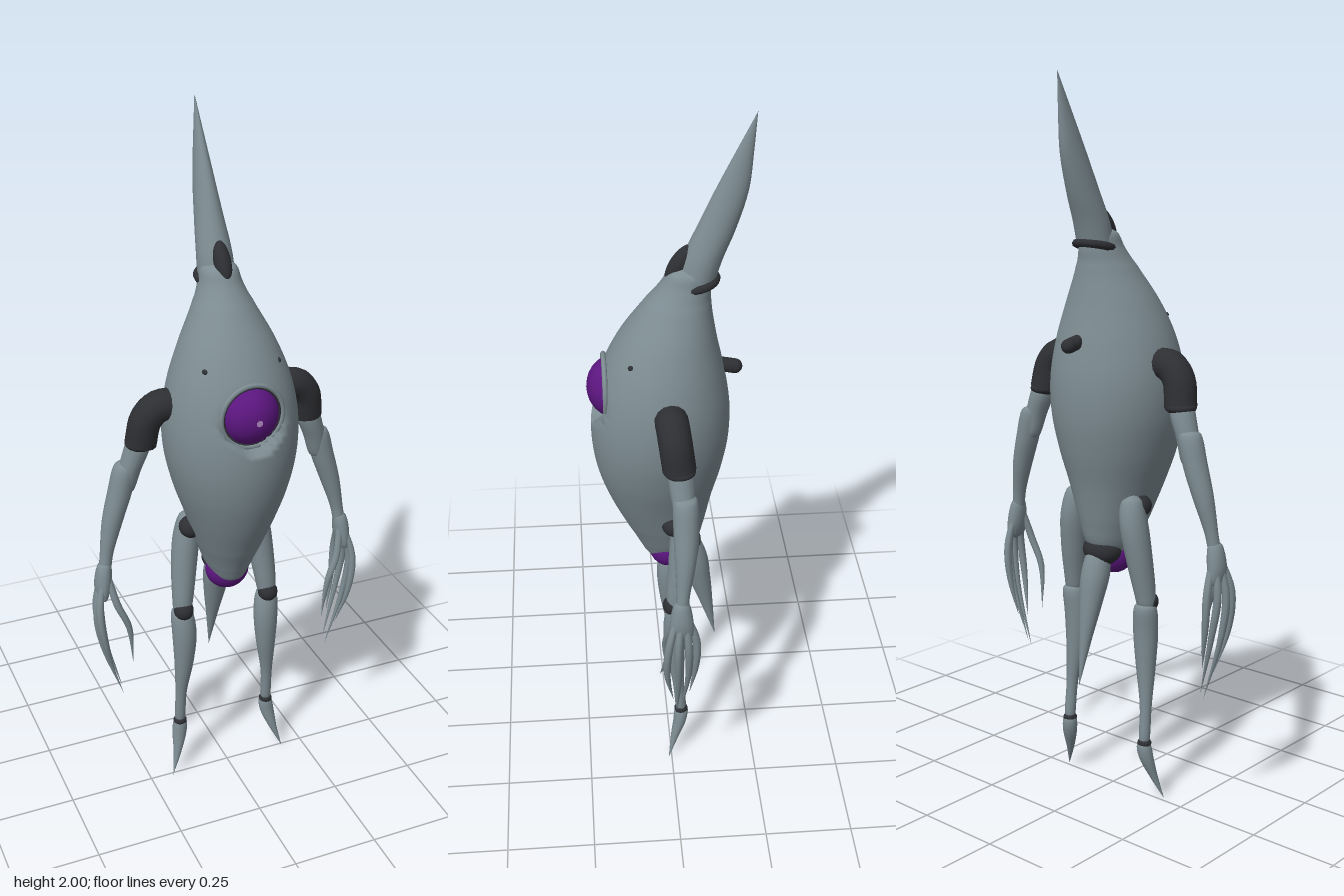
import * as THREE from 'three';

const material = (name, color, double) => {
  const m = new THREE.MeshStandardMaterial({ color });
  m.name = name;
  if (double) m.side = THREE.DoubleSide;
  return m;
};

export function createModel() {
  const root = new THREE.Group();
  root.name = 'creature';
  const shell = material('greyShell', 0x7d8c92);
  const joint = material('darkJoint', 0x2e2f33);
  const violet = material('violetEye', 0x5c1680);
  const pale = material('paleGlint', 0xb48cc4);

  const add = (name, geometry, mat, parent = root) => {
    const mesh = new THREE.Mesh(geometry, mat);
    mesh.name = name;
    parent.add(mesh);
    return mesh;
  };

  // Smooth loft through level rings, top to bottom: [x, y, z, rx, rz]
  function loft(rings, sides = 14, steps = 5, s = 1) {
    const path = new THREE.CatmullRomCurve3(rings.map(r => new THREE.Vector3(s * r[0], r[1], r[2])));
    const size = new THREE.CatmullRomCurve3(
      rings.map(r => new THREE.Vector3(r[3], r[4] ?? r[3], 0)), false, 'catmullrom', 0.5);
    const n = (rings.length - 1) * steps, pos = [], index = [];
    for (let j = 0; j <= n; j++) {
      const p = path.getPoint(j / n), q = size.getPoint(j / n);
      for (let i = 0; i < sides; i++) {
        const a = (i / sides) * Math.PI * 2;
        pos.push(p.x + Math.max(q.x, 0) * Math.cos(a), p.y, p.z + Math.max(q.y, 0) * Math.sin(a));
        if (j < n) {
          const k = j * sides + i, l = j * sides + (i + 1) % sides;
          index.push(k, l, k + sides, l, l + sides, k + sides);
        }
      }
    }
    const g = new THREE.BufferGeometry();
    g.setAttribute('position', new THREE.Float32BufferAttribute(pos, 3));
    g.setIndex(index);
    g.computeVertexNormals();
    return g;
  }

  function ball(name, mat, [x, y, z], [rx, ry, rz], parent = root) {
    const m = add(name, new THREE.SphereGeometry(1, 24, 16), mat, parent);
    m.position.set(x, y, z);
    m.scale.set(rx, ry, rz);
    return m;
  }

  // Body, from front and back edges: [y, half width, front z, back z]
  const bodyRings = [
    [1.61, 0, -0.05, -0.06], [1.59, 0.045, -0.005, -0.105], [1.55, 0.058, 0.02, -0.112], [1.5, 0.08, 0.06, -0.113],
    [1.4, 0.13, 0.13, -0.128], [1.3, 0.167, 0.178, -0.15], [1.2, 0.185, 0.202, -0.166],
    [1.1, 0.182, 0.208, -0.166], [1.0, 0.16, 0.195, -0.15], [0.9, 0.126, 0.163, -0.125],
    [0.8, 0.092, 0.118, -0.105], [0.73, 0.066, 0.083, -0.085], [0.69, 0.042, 0.062, -0.04],
    [0.675, 0, 0.03, 0.03],
  ].map(([y, w, f, b]) => [0, y, (f + b) / 2, w, (f - b) / 2]);
  const body = loft(bodyRings, 64, 8);
  // Flat socket for the eye
  const p = body.attributes.position;
  for (let i = 0; i < p.count; i++) {
    if (Math.hypot(p.getX(i), p.getY(i) - 1.25) < 0.09) p.setZ(i, Math.min(p.getZ(i), 0.166));
  }
  body.computeVertexNormals();
  add('body', body, shell);

  // Eye with its rims
  ball('eye', violet, [0, 1.25, 0.145], [0.081, 0.083, 0.072]);
  add('eyeRim', new THREE.TorusGeometry(0.087, 0.007, 8, 40), shell).position.set(0, 1.25, 0.169);
  add('eyeSeam', new THREE.TorusGeometry(0.08, 0.004, 6, 40), joint).position.set(0, 1.25, 0.168);
  add('eyeGlint', new THREE.CircleGeometry(0.009, 12), pale).position.set(0, 1.25, 0.218);

  // Horn swept up and back, with dark seams at its base
  add('horn', loft([
    [0, 2.0, -0.215, 0], [0, 1.9, -0.187, 0.013, 0.022], [0, 1.8, -0.158, 0.026, 0.042],
    [0, 1.7, -0.121, 0.038, 0.05], [0, 1.62, -0.088, 0.047, 0.052], [0, 1.56, -0.072, 0.05, 0.05],
  ], 20, 6), shell);
  const collar = add('hornCollar', new THREE.TorusGeometry(0.05, 0.011, 8, 28), joint);
  collar.rotation.x = Math.PI / 2 + 0.2;
  collar.position.set(0, 1.555, -0.075);
  const notch = ball('hornNotch', joint, [0, 1.605, -0.03], [0.023, 0.06, 0.025]);
  notch.rotation.x = -0.55;

  // Back vent
  const vent = add('backVent', new THREE.CapsuleGeometry(0.02, 0.05, 6, 14), joint);
  vent.rotation.x = Math.PI / 2 - 0.2;
  vent.position.set(0, 1.302, -0.155);

  // Belly orb and tail
  ball('bellyOrb', violet, [0, 0.7, 0.0], [0.064, 0.062, 0.055]);
  ball('tailSocket', joint, [0, 0.715, -0.045], [0.058, 0.045, 0.052]);
  add('tail', loft([
    [0, 0.73, -0.06, 0], [0, 0.71, -0.063, 0.03, 0.032], [0, 0.65, -0.075, 0.04, 0.042],
    [0, 0.58, -0.092, 0.034, 0.034], [0, 0.48, -0.115, 0.019, 0.02], [0, 0.34, -0.145, 0],
  ], 16, 5), shell);

  // Fingers: knuckle to tip
  const fingers = [
    [[0.37, 0.76, 0.0, 0.008], [0.393, 0.66, 0.025, 0.011], [0.383, 0.55, 0.03, 0.009], [0.35, 0.42, 0.01, 0]],
    [[0.372, 0.76, -0.01, 0.008], [0.395, 0.65, 0.0, 0.011], [0.382, 0.53, -0.002, 0.009], [0.325, 0.34, -0.002, 0]],
    [[0.372, 0.76, -0.02, 0.008], [0.388, 0.65, -0.028, 0.011], [0.372, 0.54, -0.03, 0.009], [0.325, 0.36, -0.015, 0]],
    [[0.365, 0.76, -0.02, 0.008], [0.37, 0.66, -0.05, 0.011], [0.365, 0.56, -0.05, 0.009], [0.345, 0.44, -0.035, 0]],
    [[0.36, 0.76, 0.0, 0.009], [0.342, 0.67, 0.022, 0.011], [0.312, 0.59, 0.03, 0.009], [0.3, 0.46, 0.02, 0]],
  ];

  for (const s of [1, -1]) {
    const arm = new THREE.Group(), leg = new THREE.Group();
    arm.name = s > 0 ? 'leftArm' : 'rightArm';
    leg.name = s > 0 ? 'leftLeg' : 'rightLeg';
    root.add(arm, leg);

    // Shoulder: a short bent dark sleeve
    const bend = new THREE.CatmullRomCurve3([[0.15, 1.245, 0.005], [0.2, 1.243, 0.002], [0.232, 1.21, -0.003], [0.246, 1.14, -0.012]]
      .map(v => new THREE.Vector3(s * v[0], v[1], v[2])));
    add('shoulder', new THREE.TubeGeometry(bend, 14, 0.044, 14), joint, arm);
    ball('shoulderEnd', joint, [s * 0.246, 1.14, -0.012], [0.043, 0.02, 0.043], arm);

    add('upperArm', loft([
      [0.25, 1.16, -0.012, 0.03], [0.257, 1.12, -0.016, 0.035], [0.277, 1.06, -0.02, 0.031],
      [0.29, 1.0, -0.025, 0.024], [0.293, 0.98, -0.025, 0],
    ], 14, 5, s), shell, arm);
    add('forearm', loft([
      [0.283, 1.09, -0.025, 0], [0.287, 1.075, -0.025, 0.03, 0.031], [0.305, 1.0, -0.025, 0.034],
      [0.332, 0.91, -0.022, 0.029], [0.354, 0.82, -0.015, 0.019], [0.364, 0.76, -0.01, 0.016], [0.366, 0.74, -0.01, 0],
    ], 14, 5, s), shell, arm);
    add('palm', loft([
      [0.362, 0.8, -0.01, 0], [0.364, 0.785, -0.01, 0.019, 0.021], [0.371, 0.73, -0.01, 0.023, 0.032],
      [0.375, 0.685, -0.01, 0.014, 0.03], [0.376, 0.67, -0.01, 0],
    ], 14, 4, s), shell, arm);
    fingers.forEach((f, i) => add('finger' + (i + 1), loft(f, 8, 5, s), shell, arm));

    // Leg: hip, thigh, knee, shin and spike foot
    ball('hip', joint, [s * 0.105, 0.85, -0.012], [0.034, 0.032, 0.036], leg);
    add('thigh', loft([
      [0.098, 0.89, -0.04, 0], [0.1, 0.87, -0.04, 0.03], [0.11, 0.8, -0.04, 0.038, 0.042],
      [0.122, 0.7, -0.03, 0.036, 0.038], [0.131, 0.61, -0.018, 0.03, 0.031], [0.134, 0.57, -0.015, 0.024], [0.134, 0.555, -0.015, 0],
    ], 16, 5, s), shell, leg);
    ball('knee', joint, [s * 0.133, 0.58, -0.006], [0.029, 0.03, 0.03], leg);
    add('shin', loft([
      [0.134, 0.585, -0.022, 0], [0.134, 0.57, -0.02, 0.03], [0.13, 0.5, -0.012, 0.036, 0.034],
      [0.132, 0.4, -0.013, 0.029, 0.028], [0.14, 0.28, -0.022, 0.017], [0.142, 0.18, -0.03, 0.015], [0.142, 0.165, -0.03, 0],
    ], 16, 5, s), shell, leg);
    ball('ankle', joint, [s * 0.142, 0.172, -0.03], [0.02, 0.014, 0.02], leg);
    add('foot', loft([
      [0.14, 0.18, -0.03, 0], [0.141, 0.17, -0.031, 0.019], [0.146, 0.13, -0.027, 0.022, 0.02],
      [0.16, 0.07, -0.01, 0.012], [0.183, 0, 0.01, 0],
    ], 12, 5, s), shell, leg);

    // Small pits on the brow
    ball('browPit', joint, [s * 0.103, 1.365, 0.098], [0.008, 0.008, 0.012]);
  }
  return root;
}
